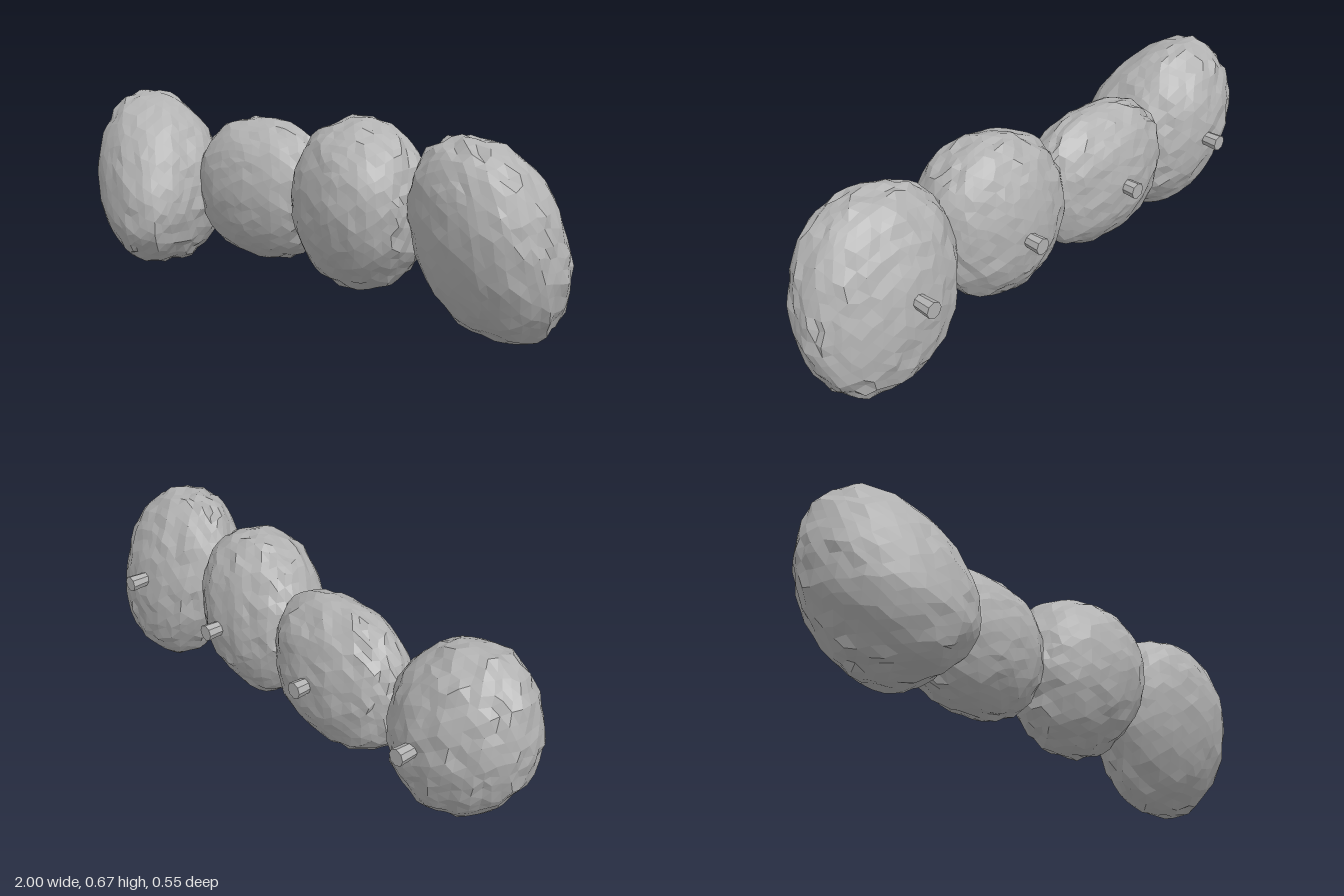
import * as THREE from 'three';
import { mergeVertices } from 'three/addons/utils/BufferGeometryUtils.js';

// Small seeded generator for the chipped stone surface
function seeded(seed) {
  let s = seed;
  return () => {
    s = (s * 16807) % 2147483647;
    return s / 2147483647;
  };
}

// Each stone: centre and half sizes of its widest section, its squareness (2 is an ellipse),
// depth in front of and behind it, lean of that section (x by y, z by y, z by x),
// and offset of the front bulge in x and y
const STONES = [
  { name: 'stoneFarRight', centre: [-0.736, 0.355, -0.008], half: [0.264, 0.322], square: 2, front: 0.275, back: 0.213,
    lean: [-0.16, -0.04, 0.02], bulge: [0.09, -0.085], peg: -0.72 },
  { name: 'stoneMidRight', centre: [-0.255, 0.36, -0.08], half: [0.295, 0.257], square: 2.3, front: 0.18, back: 0.152,
    lean: [0, 0, 0.02], bulge: [0.01, 0], peg: -0.25 },
  { name: 'stoneMidLeft', centre: [0.21, 0.376, -0.045], half: [0.265, 0.298], square: 2.1, front: 0.23, back: 0.178,
    lean: [0.02, 0.0, 0.03], bulge: [0.05, 0.03], peg: 0.225 },
  { name: 'stoneFarLeft', centre: [0.715, 0.332, -0.04], half: [0.28, 0.333], square: 2.2, front: 0.205, back: 0.178,
    lean: [-0.13, 0.12, 0.06], bulge: [0.04, 0.03], peg: 0.695 },
];

// Faceted boulder: two half ellipsoids sharing a widest section, chipped inwards
function stoneGeometry({ centre, half, square, front, back, lean, bulge }, seed) {
  const rand = seeded(seed * 7919 + 17);
  let geo = new THREE.IcosahedronGeometry(1, 7);
  geo.deleteAttribute('normal');
  geo.deleteAttribute('uv');
  geo = mergeVertices(geo, 1e-4);
  const pos = geo.attributes.position;
  const v = new THREE.Vector3();
  for (let i = 0; i < pos.count; i++) {
    v.fromBufferAttribute(pos, i);
    // chipped ledges and fine roughness, calmer on the front
    const ledge = Math.sin(13 * v.y + 6 * v.x + seed * 1.7) + Math.sin(11 * v.x - 9 * v.z) > 0 ? 0.022 : 0;
    const chip = (v.z > 0.5 ? 0.6 : 1) * (ledge + 0.045 * rand());
    v.x += 0.05 * (rand() - 0.5);
    v.y += 0.05 * (rand() - 0.5);
    v.normalize();
    // square off the upright section only
    const corner = (Math.abs(v.x) ** square + Math.abs(v.y) ** square) ** (1 / square);
    const round = Math.hypot(v.x, v.y) / Math.max(corner, 1e-6);
    v.x *= round;
    v.y *= round;
    v.multiplyScalar(1.018 - chip);
    // front bulge moves off centre, the back stays put
    const w = Math.max(v.z, 0) ** 2;
    const x = v.x * half[0] + bulge[0] * w;
    const y = v.y * half[1] + bulge[1] * w;
    const z = v.z * (v.z > 0 ? front : back);
    pos.setXYZ(i, centre[0] + x + lean[0] * y, centre[1] + y, centre[2] + z + lean[1] * y + lean[2] * x);
  }
  const flat = geo.toNonIndexed();
  flat.computeVertexNormals();
  return flat;
}

export function createModel() {
  const model = new THREE.Group();
  model.name = 'stoneRow';
  const stoneGrey = new THREE.MeshStandardMaterial({ color: 0xb2b2b2 });
  stoneGrey.name = 'stoneGrey';
  stoneGrey.flatShading = true;

  // Short mounting peg, flaring a little towards the back
  const pegGeometry = new THREE.CylinderGeometry(0.029, 0.022, 0.115, 8);
  pegGeometry.rotateX(-Math.PI / 2);

  STONES.forEach((spec, i) => {
    const stone = new THREE.Mesh(stoneGeometry(spec, i + 1), stoneGrey);
    stone.name = spec.name;
    const peg = new THREE.Mesh(pegGeometry, stoneGrey);
    peg.name = 'backPeg' + (i + 1);
    peg.position.set(spec.peg, 0.36, -0.2175);
    model.add(stone, peg);
  });
  return model;
}
